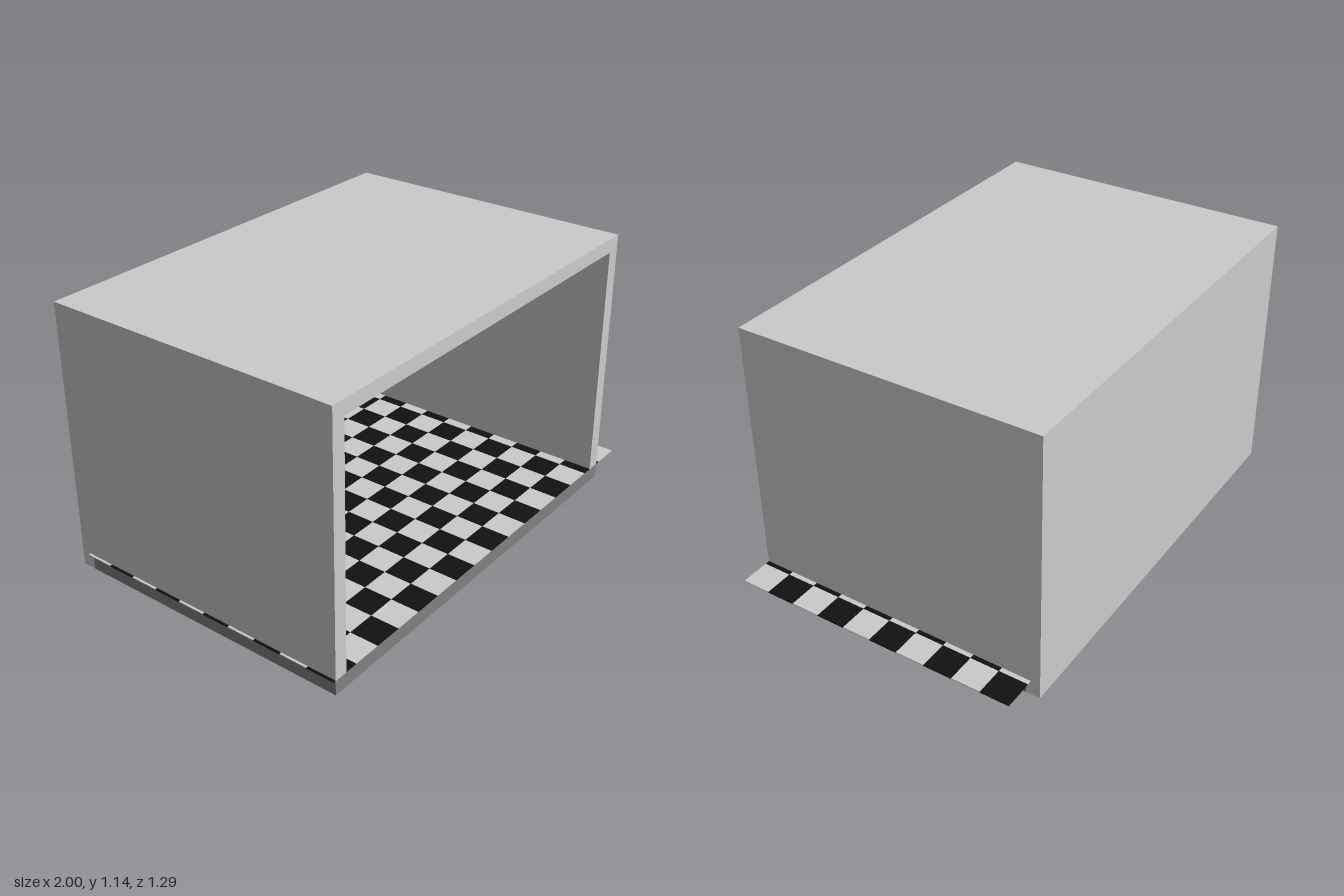
import * as THREE from 'three';

const LEFT = 0.855, RIGHT = -0.99, TOP = 1.145, HALF_DEPTH = 0.645;
const WALL = 0.06, FLOOR = 0.0625;

const material = (color) => new THREE.MeshStandardMaterial({ color });

// Box given by its minimum and maximum corners
function box(name, [x0, y0, z0], [x1, y1, z1], mat) {
  const mesh = new THREE.Mesh(new THREE.BoxGeometry(x1 - x0, y1 - y0, z1 - z0), mat);
  mesh.position.set((x0 + x1) / 2, (y0 + y1) / 2, (z0 + z1) / 2);
  mesh.name = name;
  return mesh;
}

export function createModel() {
  const room = new THREE.Group();
  room.name = 'room';
  const grey = material(0xcccccc);
  const darkGrey = material(0x808080);
  const black = material(0x111111);
  const innerBack = -HALF_DEPTH + WALL;

  // Floor slab, in front of the back wall
  room.add(box('floorSlab', [RIGHT, 0, innerBack], [LEFT, FLOOR, HALF_DEPTH], darkGrey));

  // Back wall reaches down to the ground
  room.add(box('backWall', [RIGHT, 0, -HALF_DEPTH], [LEFT, TOP, innerBack], grey));

  // Side walls and roof as one arch-shaped extrusion
  const arch = new THREE.Shape([
    [RIGHT, FLOOR], [RIGHT + WALL, FLOOR], [RIGHT + WALL, TOP - WALL], [LEFT - WALL, TOP - WALL],
    [LEFT - WALL, FLOOR], [LEFT, FLOOR], [LEFT, TOP], [RIGHT, TOP],
  ].map(([x, y]) => new THREE.Vector2(x, y)));
  const shell = new THREE.Mesh(
    new THREE.ExtrudeGeometry(arch, { depth: HALF_DEPTH - innerBack, bevelEnabled: false }), grey);
  shell.position.z = innerBack;
  shell.name = 'sideWallsAndRoof';
  room.add(shell);

  // Thin panel on the inside of the back wall
  room.add(box('wallPanel', [-0.32, 0.25, innerBack - 0.01], [0.605, 0.555, innerBack + 0.003], grey));

  // Checkerboard tiles, running out past the side walls
  const tiles = new THREE.Group();
  tiles.name = 'floorTiles';
  const pitch = 0.125, gap = 0.0005;
  for (let i = 0; i < 16; i++) {
    for (let j = 0; j < 10; j++) {
      const x = -1 + i * pitch, z = HALF_DEPTH - (10 - j) * pitch;
      const dark = (i + j) % 2 === 1;
      tiles.add(box(dark ? 'blackTile' : 'lightTile',
        [x + gap, FLOOR - 0.001, z + gap], [x + pitch - gap, FLOOR + 0.003, z + pitch - gap],
        dark ? black : grey));
    }
  }
  room.add(tiles);
  return room;
}
